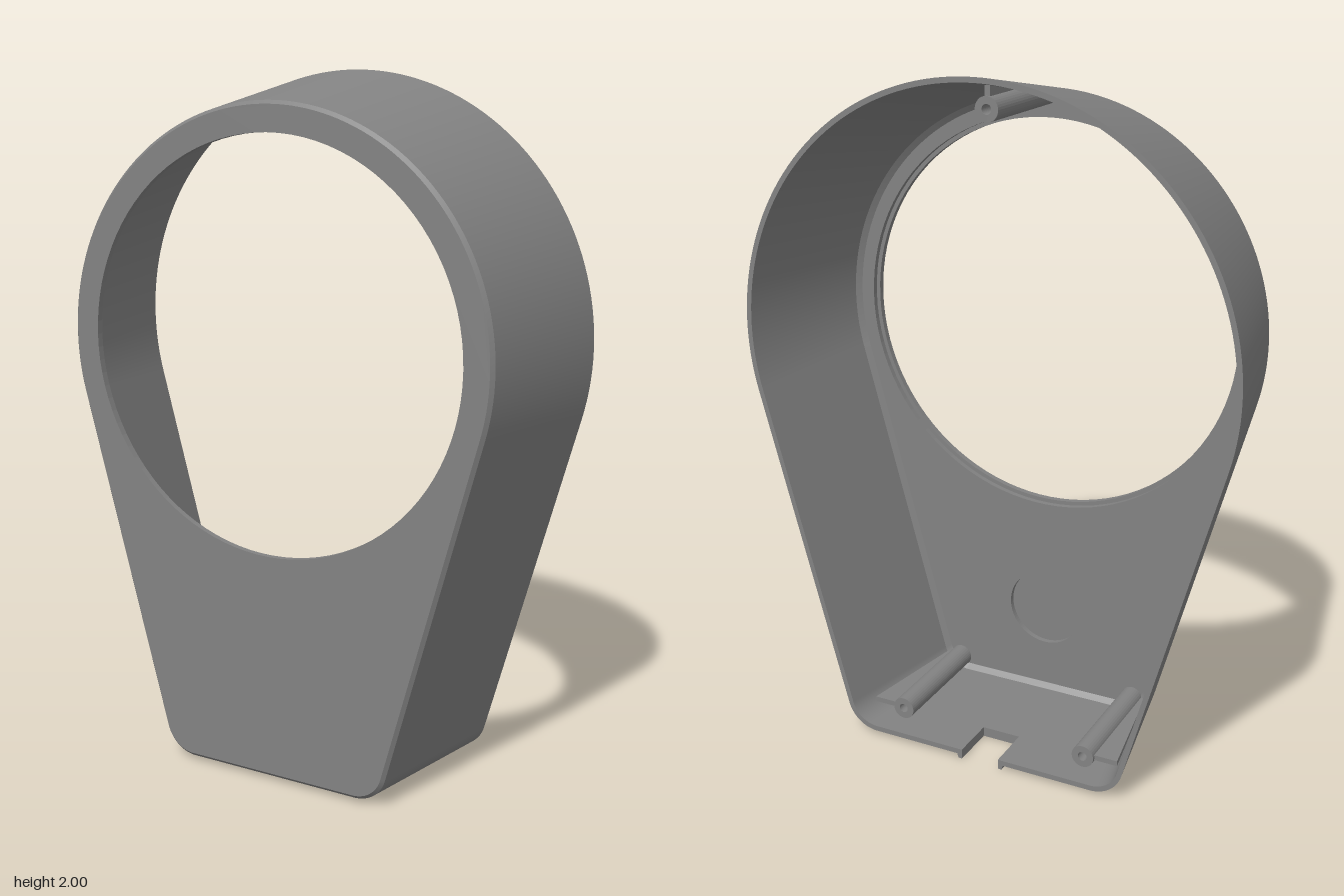
import * as THREE from 'three';

const CY = 1.255, R = 0.745, TILT = 0.269, BACK = -0.24, NOTCH = 0.06;
const material = new THREE.MeshStandardMaterial({ color: 0x828282 });

// Wall section, as [inset, floorY, corner radius, z]
const SECTION = [
  [0, 0.014, 0.1, BACK],
  [0.082, 0.014, 0.1, 0.229],
  [0.092, 0.025, 0.09, 0.24],
  [0.112, 0.046, 0.075, 0.205],
  [0.096, 0.03, 0.085, 0.192],
  [0.015, 0.03, 0.085, BACK],
];

// Teardrop outline, counterclockwise, open across the floor notch
function outline(inset, floorY, corner) {
  const r = R - inset, half = [];
  const cy = floorY + corner;
  const cx = (r - corner + Math.sin(TILT) * (cy - CY)) / Math.cos(TILT);
  half.push(new THREE.Vector2(NOTCH, floorY));
  for (let i = 0; i <= 14; i++) {
    const a = -Math.PI / 2 + (Math.PI / 2 - TILT) * i / 14;
    half.push(new THREE.Vector2(cx + corner * Math.cos(a), cy + corner * Math.sin(a)));
  }
  for (let i = 0; i <= 48; i++) {
    const a = -TILT + (Math.PI / 2 + TILT) * i / 48;
    half.push(new THREE.Vector2(r * Math.cos(a), CY + r * Math.sin(a)));
  }
  const mirrored = half.slice(0, -1).reverse().map(p => new THREE.Vector2(-p.x, p.y));
  return half.concat(mirrored);
}

// Lofts a closed section round the outline, crisp between strips
function loft(rows) {
  const pos = [], index = [];
  rows.forEach((row, k) => {
    const base = pos.length / 3;
    let n = 0;
    for (const [inset, floorY, corner, z] of [row, rows[(k + 1) % rows.length]]) {
      const pts = outline(inset, floorY, corner);
      n = pts.length;
      pts.forEach(p => pos.push(p.x, p.y, z));
    }
    for (let i = 0; i < n - 1; i++) {
      const a = base + i, b = a + n;
      index.push(a, a + 1, b, a + 1, b + 1, b);
    }
  });
  const g = new THREE.BufferGeometry();
  g.setAttribute('position', new THREE.Float32BufferAttribute(pos, 3));
  g.setIndex(index);
  g.computeVertexNormals();
  return g;
}

function circle(x, y, r, type = THREE.Path) {
  const c = new type();
  c.absarc(x, y, r, 0, Math.PI * 2, type === THREE.Path);
  return c;
}

const polygon = pts => new THREE.Shape(pts.map(p => new THREE.Vector2(...p)));

function extrude(shape, z0, z1, curveSegments = 48, steps = 1) {
  const g = new THREE.ExtrudeGeometry(shape, { depth: z1 - z0, bevelEnabled: false, curveSegments, steps });
  return g.translate(0, 0, z0);
}

// Cable notch frame: a U-shaped pad whose underside tapers inward
function notchFrame() {
  const front = 0.08, inner = 0.1, back = -BACK;
  const g = extrude(polygon([
    [-0.08, front], [0.08, front], [0.08, back], [NOTCH, back],
    [NOTCH, inner], [-NOTCH, inner], [-NOTCH, back], [-0.08, back],
  ]), 0, 0.03).rotateX(-Math.PI / 2);
  const p = g.attributes.position;
  for (let i = 0; i < p.count; i++) {
    if (p.getY(i) > 0.01) continue;
    if (Math.abs(p.getX(i)) > 0.07) p.setX(i, p.getX(i) - Math.sign(p.getX(i)) * 0.008);
    if (p.getZ(i) > -0.09) p.setZ(i, p.getZ(i) - 0.012);
  }
  g.computeVertexNormals();
  return g;
}

// Hollow screw post, kept under the sloping top of the wall
function post(x, y) {
  const ring = circle(x, y, 0.034, THREE.Shape);
  ring.holes.push(circle(x, y, 0.014));
  const g = extrude(ring, -0.17, 0.215, 16, 12);
  const p = g.attributes.position;
  for (let i = 0; i < p.count; i++) {
    const roof = CY + R - 0.01 - 0.175 * (p.getZ(i) - BACK);
    p.setY(i, Math.min(p.getY(i), roof));
  }
  return g;
}

export function createModel() {
  const group = new THREE.Group();
  const add = (name, geometry) => {
    const mesh = new THREE.Mesh(geometry, material);
    mesh.name = name;
    group.add(mesh);
  };

  // Tapered wall with a small front bevel and an inner chamfer
  add('shellWall', loft(SECTION));

  // Same section carried across the floor, stopping at the notch
  add('floorStrip', extrude(polygon(SECTION.map(([, y, , z]) => [Math.max(z, -0.1), y])), -NOTCH, NOTCH)
    .rotateY(-Math.PI / 2));
  add('notchFrame', notchFrame());

  // Front plate: outer layer, and inner layer with a wider rim and a round recess
  const face = new THREE.Shape(outline(0.092, 0.025, 0.09));
  face.holes.push(circle(0, CY, 0.58));
  add('frontPlate', extrude(face, 0.222, 0.24));
  const lining = new THREE.Shape(outline(0.097, 0.031, 0.085));
  lining.holes.push(circle(0, CY, 0.592), circle(0, 0.31, 0.12));
  add('frontLining', extrude(lining, 0.205, 0.222));

  // Screw posts and the webs joining them to the wall
  add('topPost', post(0, 1.91));
  add('topWeb', extrude(polygon([[0.2, 1.9], [-0.165, 1.93], [-0.165, 1.978], [0.2, 1.915]]), -0.008, 0.008)
    .rotateY(-Math.PI / 2));
  for (const s of [-1, 1]) {
    add('bottomPost', post(s * 0.3, 0.07));
    const web = extrude(polygon([[0.32, -0.2], [0.345, -0.2], [0.405, 0.16], [0.32, 0.16]]), -0.008, 0.008)
      .rotateX(-Math.PI / 2);
    if (s < 0) web.rotateZ(Math.PI);
    add('bottomWeb', web.translate(0, 0.07, 0));
  }
  return group;
}
